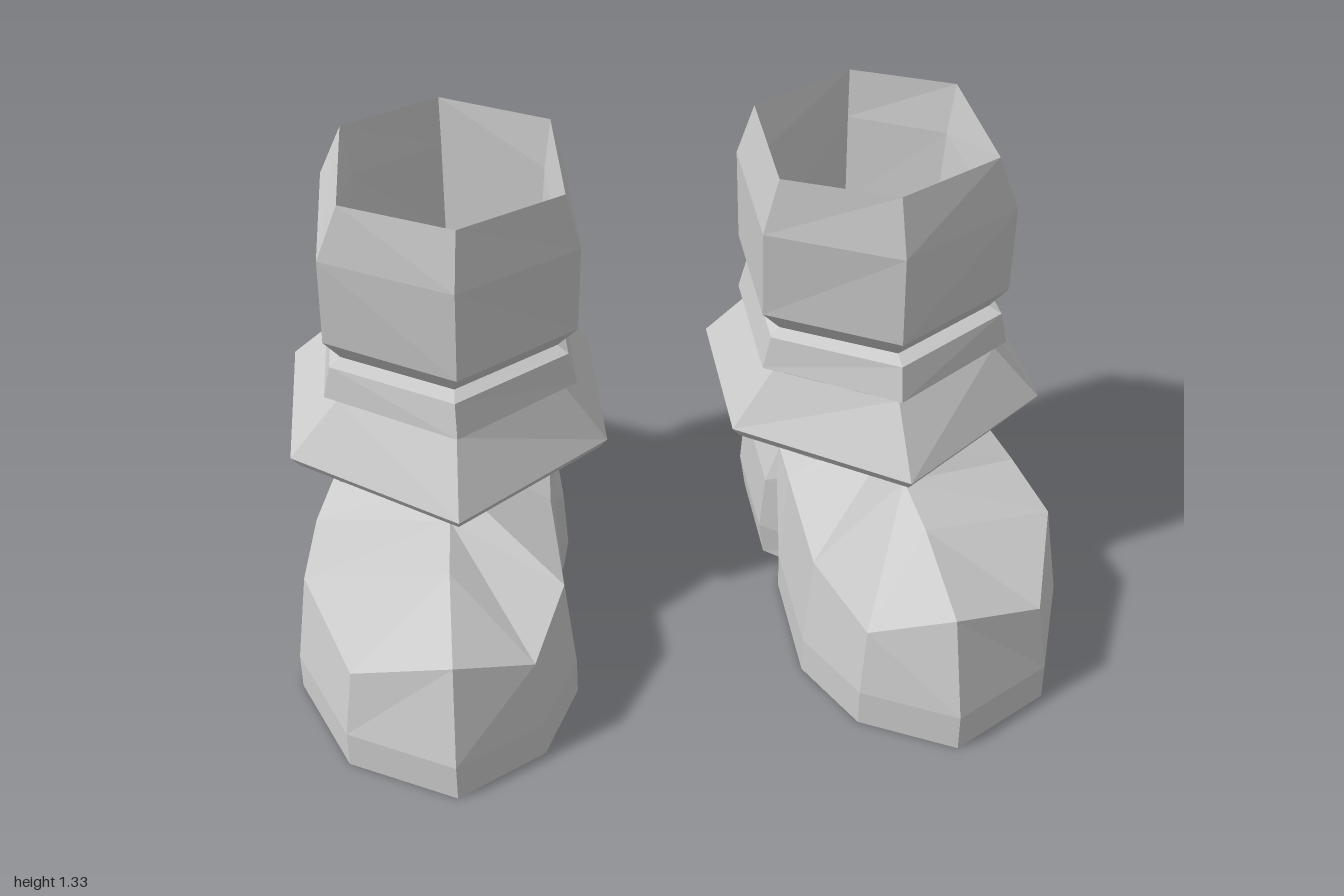
import * as THREE from 'three';

const material = new THREE.MeshStandardMaterial({ color: 0xcccccc, flatShading: true });

// Skin a list of closed rings (counter-clockwise seen from the last one), with optional end caps
function loft(name, rings, capStart = false, capEnd = false) {
  const n = rings[0].length;
  const index = [];
  for (let r = 0; r < rings.length - 1; r++) {
    for (let i = 0; i < n; i++) {
      const j = (i + 1) % n;
      const a = r * n + i, b = r * n + j, c = b + n, d = a + n;
      index.push(a, b, c, a, c, d);
    }
  }
  const last = (rings.length - 1) * n;
  for (let i = 1; i < n - 1; i++) {
    if (capStart) index.push(0, i + 1, i);
    if (capEnd) index.push(last, last + i, last + i + 1);
  }
  const indexed = new THREE.BufferGeometry();
  indexed.setAttribute('position', new THREE.Float32BufferAttribute(rings.flat(2), 3));
  indexed.setIndex(index);
  const geometry = indexed.toNonIndexed();
  geometry.computeVertexNormals();
  const mesh = new THREE.Mesh(geometry, material);
  mesh.name = name;
  return mesh;
}

// Hexagon with a corner at front and back, leaning slightly outward and back
function hexRing([y, xIn, xOut, front, back, sideFront, sideBack]) {
  const mid = (xIn + xOut) / 2;
  return [
    [mid, front], [xOut, sideFront], [xOut - 0.02, sideBack],
    [mid, back], [xIn, sideBack], [xIn, sideFront - 0.01],
  ].map(([x, z]) => [x, y + 0.04 * (x - mid) - 0.025 * (z + 0.18), z]);
}

// Long octagon for heel and ankle
function octRing([y, xIn, xOut, front, back]) {
  const mid = (xIn + xOut) / 2 - 0.015;
  const w = 0.115;
  return [
    [mid - w, front], [mid + w, front], [xOut, front - 0.14], [xOut, back + 0.1],
    [mid + w, back], [mid - w, back], [xIn, back + 0.1], [xIn, front - 0.14],
  ].map(([x, z]) => [x, y, z]);
}

// Foot cross-section: inner [x, z], outer [x, z], crease height, ridge point, pinch of the sole
function footRing([xi, zi], [xo, zo], crease, ridge, pinch = 0) {
  const toward = (x, amount) => THREE.MathUtils.lerp(x, 0.6, amount);
  const side = (x, z) => [
    [toward(x, pinch), 0, z], [toward(x, pinch), 0.1, z], [toward(x, 0.08), crease, z - 0.02],
  ];
  return [...side(xo, zo), ridge, ...side(xi, zi).reverse()];
}

function createBoot() {
  const boot = new THREE.Group();

  // Height, inner x, outer x, front, back, side corners' z
  const skirtTop = [0.71, 0.27, 0.85, 0.16, -0.51, -0.02, -0.39];
  const bandTop = [0.82, 0.26, 0.86, 0.17, -0.52, -0.01, -0.39];
  const neck = [0.835, 0.285, 0.83, 0.13, -0.48, -0.03, -0.37];

  // Flared cuff, hollow underneath
  boot.add(loft('flaredCuff', [
    [0.69, 0.28, 0.84, 0.14, -0.49, -0.03, -0.38],
    [0.515, 0.185, 0.96, 0.265, -0.675, -0.02, -0.465],
    [0.545, 0.165, 0.98, 0.29, -0.70, -0.01, -0.48],
    skirtTop,
  ].map(hexRing)));

  // Narrow band above the cuff
  boot.add(loft('band', [
    skirtTop,
    [0.73, 0.24, 0.88, 0.195, -0.545, -0.01, -0.4],
    bandTop,
    neck,
  ].map(hexRing)));

  // Bulging shaft, rim and the hollow inside
  boot.add(loft('shaft', [
    neck,
    [0.9, 0.235, 0.87, 0.19, -0.54, 0, -0.385],
    [1.155, 0.225, 0.865, 0.2, -0.53, 0.03, -0.38],
    [1.315, 0.26, 0.805, 0.17, -0.46, 0.04, -0.33],
    [1.18, 0.28, 0.785, 0.06, -0.455, -0.03, -0.32],
    [0.93, 0.3, 0.77, 0.03, -0.45, -0.05, -0.32],
  ].map(hexRing), false, true));

  // Heel block narrowing into the ankle, tucked up inside the cuff
  boot.add(loft('heelAndAnkle', [
    [0, 0.28, 0.86, -0.01, -0.555],
    [0.1, 0.265, 0.875, 0, -0.56],
    [0.27, 0.275, 0.88, 0.02, -0.55],
    [0.4, 0.315, 0.865, 0.03, -0.47],
    [0.53, 0.32, 0.84, 0.04, -0.48],
    [0.62, 0.33, 0.82, 0.05, -0.46],
    [0.72, 0.36, 0.78, 0.02, -0.41],
  ].map(octRing), true, true));

  // Front of the foot, from the instep to the pointed toe
  const tip = [0.63, 0, 0.7], tipSide = [0.63, 0.1, 0.7], tipTop = [0.62, 0.36, 0.63];
  boot.add(loft('foot', [
    footRing([0.28, -0.13], [0.895, -0.13], 0.4, [0.575, 0.5, -0.06], 0.2),
    footRing([0.295, 0], [0.96, 0], 0.345, [0.575, 0.485, 0.04]),
    footRing([0.295, 0.35], [1, 0.23], 0.34, [0.59, 0.435, 0.15]),
    footRing([0.4, 0.57], [0.89, 0.54], 0.28, [0.605, 0.42, 0.34]),
    [tip, tipSide, tipTop, tipTop, tipTop, tipSide, tip],
  ], true));

  return boot;
}

export function createModel() {
  const model = new THREE.Group();
  model.name = 'pairOfBoots';
  const left = createBoot();
  left.name = 'leftBoot';
  const right = createBoot();
  right.name = 'rightBoot';
  right.scale.x = -1;
  model.add(left, right);
  return model;
}
